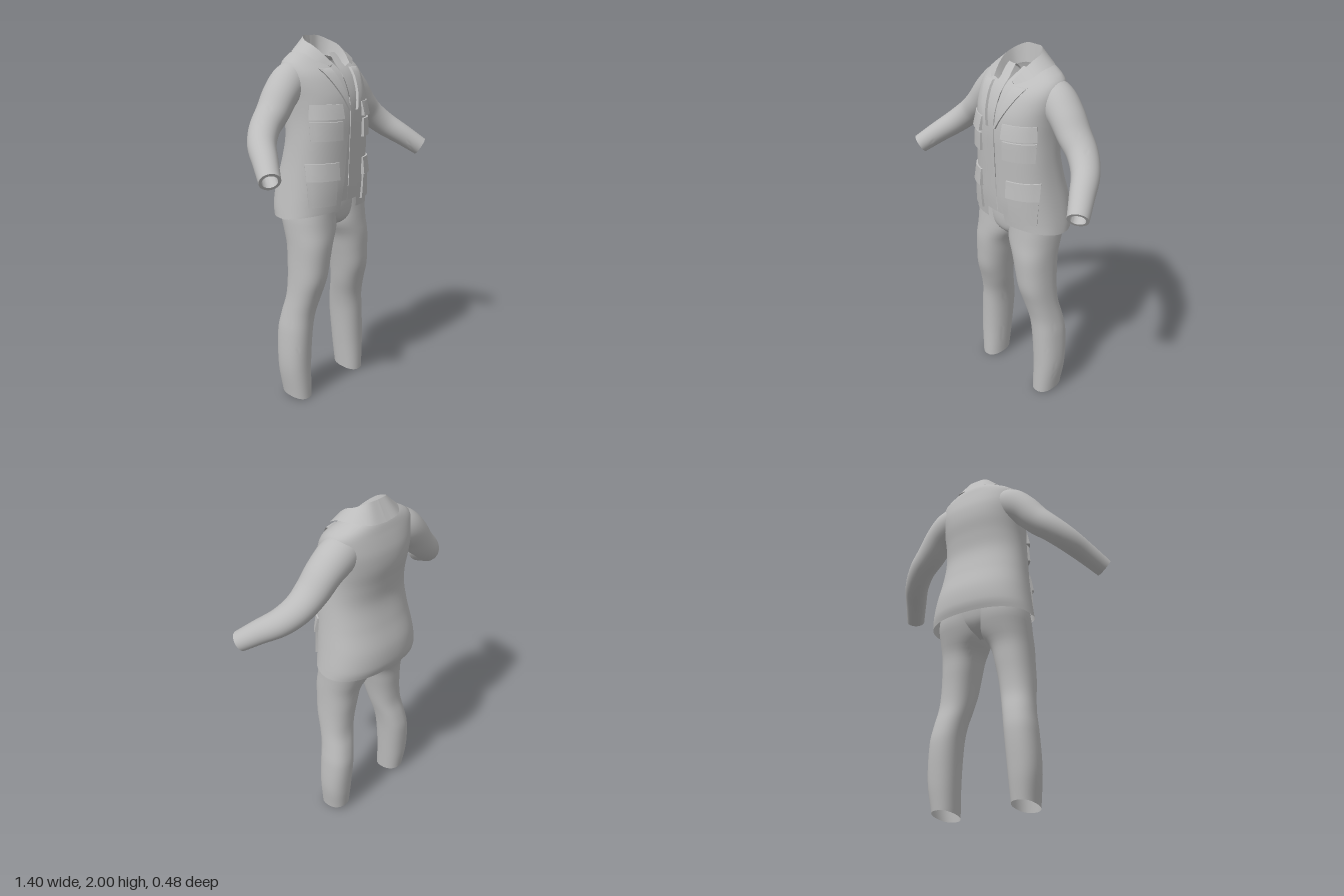
import * as THREE from 'three';
import { toCreasedNormals } from 'three/addons/utils/BufferGeometryUtils.js';

const V = (x, y, z) => new THREE.Vector3(x, y, z);
const cloth = new THREE.MeshStandardMaterial({ color: 0xbcbcbc, side: THREE.DoubleSide });
cloth.name = 'greyCloth';
const N = 2.3; // roundness of the body sections

// Surface through rows of points; rows run counter-clockwise seen from the end
function loft(name, rows, closed = false) {
  const pos = [], idx = [], n = rows[0].length;
  rows.forEach(r => r.forEach(p => pos.push(p.x, p.y, p.z)));
  for (let i = 0; i < rows.length - 1; i++) {
    for (let j = 0; j < (closed ? n : n - 1); j++) {
      const k = (j + 1) % n, a = i * n + j, b = i * n + k;
      idx.push(a, b, b + n, a, b + n, a + n);
    }
  }
  const g = new THREE.BufferGeometry();
  g.setAttribute('position', new THREE.Float32BufferAttribute(pos, 3));
  g.setIndex(idx);
  const mesh = new THREE.Mesh(toCreasedNormals(g, 0.7), cloth);
  mesh.name = name;
  return mesh;
}

// Smooth lookup in a table whose first column is the height
function lookup(t, y) {
  let i = 0;
  while (i < t.length - 2 && y > t[i + 1][0]) i++;
  const a = t[i], b = t[i + 1], p = t[Math.max(i - 1, 0)], q = t[Math.min(i + 2, t.length - 1)];
  const h = b[0] - a[0], s = Math.min(1, Math.max(0, (y - a[0]) / h));
  return a.slice(1).map((v, c) => {
    const k = c + 1, m0 = h * (b[k] - p[k]) / (b[0] - p[0]), m1 = h * (q[k] - a[k]) / (q[0] - a[0]);
    return (2 * s ** 3 - 3 * s * s + 1) * v + (s ** 3 - 2 * s * s + s) * m0
      + (3 * s * s - 2 * s ** 3) * b[k] + (s ** 3 - s * s) * m1;
  });
}

// height, left x, right x, front z, back z
const torso = [
  [1.05, 0.304, 0.16, -0.225], [1.1, 0.297, 0.165, -0.24], [1.21, 0.28, 0.175, -0.235],
  [1.34, 0.262, 0.18, -0.2], [1.47, 0.25, 0.185, -0.175], [1.58, 0.245, 0.188, -0.185],
  [1.68, 0.25, 0.18, -0.203], [1.76, 0.26, 0.152, -0.203], [1.82, 0.26, 0.115, -0.19],
  [1.87, 0.24, 0.06, -0.175], [1.905, 0.18, 0.02, -0.165], [1.93, 0.12, -0.01, -0.15],
].map(([y, w, f, b]) => [y, -w, w, f, b]);
const pelvis = [
  [0.965, -0.02, 0.02, 0.03, -0.05], [1.0, -0.1, 0.1, 0.105, -0.11],
  [1.06, -0.2, 0.2, 0.13, -0.15], [1.2, -0.25, 0.25, 0.13, -0.17],
];
const leg = [
  [0.022, 0.17, 0.305, 0.07, -0.1], [0.2, 0.16, 0.325, 0.065, -0.12], [0.4, 0.145, 0.315, 0.068, -0.13],
  [0.5, 0.13, 0.3, 0.075, -0.115], [0.6, 0.108, 0.287, 0.1, -0.092], [0.7, 0.09, 0.28, 0.13, -0.09],
  [0.8, 0.07, 0.275, 0.14, -0.098], [0.9, 0.045, 0.273, 0.145, -0.11], [0.98, 0, 0.272, 0.14, -0.14],
  [1.06, -0.01, 0.27, 0.135, -0.165], [1.18, -0.02, 0.25, 0.13, -0.17],
];

// Point on a body section, phi = 0 at the front, moved out by off
function surf(table, phi, y, off = 0) {
  const [x0, x1, f, b] = lookup(table, y), w = (x1 - x0) / 2, d = (f - b) / 2;
  const s = Math.sin(phi), c = Math.cos(phi), e = 2 / N;
  const x = Math.sign(s) * Math.abs(s) ** e, z = Math.sign(c) * Math.abs(c) ** e;
  const n = V(Math.sign(x) * Math.abs(x) ** (N - 1) / w, 0, Math.sign(z) * Math.abs(z) ** (N - 1) / d).normalize();
  return V((x0 + x1) / 2 + w * x, y, (f + b) / 2 + d * z).addScaledVector(n, off);
}
function phiAt(x, y) {
  const w = lookup(torso, y)[1];
  return Math.asin(Math.min(0.97, Math.max(0, x / w)) ** (N / 2));
}

const steps = (a, b, n) => Array.from({ length: n + 1 }, (_, i) => a + (b - a) * i / n);
const jacketGap = y => (y < 1.62 ? 0.028 + (1.62 - y) * 0.075 : 0.028 + (y - 1.62) * 0.24);
const shirtGap = y => Math.max(0.003, (y - 1.84) * 0.45);

// Torso shell left open along the front
function shell(name, y0, y1, gap, off, hem) {
  return loft(name, steps(y0, y1, 44).map(y => {
    const p0 = phiAt(gap(y), y);
    return steps(p0, 2 * Math.PI - p0, 64).map(p => {
      const q = surf(torso, p, y, off), c = Math.cos(p);
      q.y += hem * Math.min(1, Math.max(0, (1.25 - y) / 0.2)) * (c > 0 ? c : -0.3 * c);
      return q;
    });
  }));
}

// Raised piece of cloth lying on the torso, x limits may depend on height
function patch(name, xa, xb, y0, y1, thick, taper = 0) {
  const edge = [0, 0.015, ...steps(0.12, 0.88, 8), 0.985, 1];
  return loft(name, edge.map(v => {
    const y = y0 + (y1 - y0) * v;
    return edge.map(u => {
      const border = u === 0 || u === 1 || v === 0 || v === 1;
      const x = xa(y) + (xb(y) - xa(y)) * u;
      return surf(torso, phiAt(x, y), y, border ? -0.004 : thick * (1 - taper * v));
    });
  }));
}

function sleeve() {
  // centre and the two radii along the arm
  const path = [
    [0.13, 1.8, -0.06, 0.09, 0.09], [0.22, 1.765, -0.062, 0.1, 0.1], [0.3, 1.705, -0.055, 0.088, 0.098],
    [0.37, 1.625, -0.045, 0.08, 0.092], [0.445, 1.555, -0.03, 0.073, 0.083], [0.52, 1.485, 0.02, 0.068, 0.074],
    [0.59, 1.415, 0.11, 0.06, 0.064], [0.655, 1.345, 0.197, 0.053, 0.055],
  ];
  const curve = new THREE.CatmullRomCurve3(path.map(p => V(p[0], p[1], p[2])));
  const radii = new THREE.CatmullRomCurve3(path.map(p => V(p[3], p[4], 0)));
  const ring = (t, k, back = 0) => {
    const T = curve.getTangent(t), c = curve.getPoint(t).addScaledVector(T, -back), r = radii.getPoint(t);
    const up = V(0, 0, 1).cross(T).normalize(), side = T.clone().cross(up);
    return steps(0, 2 * Math.PI, 32).slice(0, -1).map(a => c.clone()
      .addScaledVector(up, Math.cos(a) * r.x * k).addScaledVector(side, Math.sin(a) * r.y * k));
  };
  const rows = steps(0, 1, 36).map(t => ring(t, 1));
  rows.push(ring(1, 0.72), ring(1, 0.68, 0.08)); // turned-in cuff
  return loft('sleeve', rows, true);
}

function trouserLeg() {
  return loft('trouserLeg', steps(0.022, 1.18, 44).map(y => steps(0, 2 * Math.PI, 40).slice(0, -1).map(p => {
    const q = surf(leg, p, y);
    q.y -= 0.02 * Math.cos(p) * Math.max(0, 1 - y / 0.15);
    return q;
  })), true);
}

// Half of the turned-down collar, from the back centre to the notch
function collar() {
  const outer = [[0, 1.905, -0.172], [0.09, 1.912, -0.16], [0.155, 1.922, -0.09], [0.167, 1.91, -0.005], [0.155, 1.878, 0.058], [0.095, 1.848, 0.105]];
  const crest = [[0, 2, -0.112], [0.06, 1.998, -0.104], [0.1, 1.975, -0.06], [0.105, 1.95, 0], [0.09, 1.905, 0.06], [0.07, 1.86, 0.105]];
  const inner = [[0, 1.9, -0.1], [0.05, 1.9, -0.093], [0.083, 1.89, -0.055], [0.087, 1.88, 0], [0.075, 1.86, 0.045], [0.06, 1.84, 0.085]];
  return loft('collar', [inner, crest, outer].reverse().map(c =>
    new THREE.CatmullRomCurve3(c.map(p => V(...p))).getPoints(24).reverse()));
}

export function createModel() {
  const model = new THREE.Group();
  model.name = 'suit';
  model.add(
    shell('jacketBody', 1.05, 1.93, jacketGap, 0, 0.035),
    shell('innerShirt', 1.13, 1.91, shirtGap, -0.018, 0),
    loft('trouserSeat', steps(0.965, 1.2, 16).map(y =>
      steps(0, 2 * Math.PI, 40).slice(0, -1).map(p => surf(pelvis, p, y))), true),
  );
  const at = x => () => x;
  for (const side of [1, -1]) {
    const half = new THREE.Group();
    half.name = side > 0 ? 'leftHalf' : 'rightHalf';
    half.scale.x = side;
    half.add(
      sleeve(), trouserLeg(), collar(),
      patch('lapel', jacketGap, y => 0.036 + (y - 1.62) * 0.55, 1.62, 1.838, 0.011),
      patch('chestPocketFlap', at(0.08), at(0.232), 1.582, 1.66, 0.02, 0.75),
      patch('chestPocket', at(0.085), at(0.232), 1.47, 1.57, 0.015, 0.3),
      patch('hipPocketFlap', at(0.1), at(0.25), 1.26, 1.355, 0.02, 0.6),
      patch('hipPocket', at(0.11), at(0.25), 1.12, 1.27, 0.01),
    );
    model.add(half);
  }
  return model;
}
